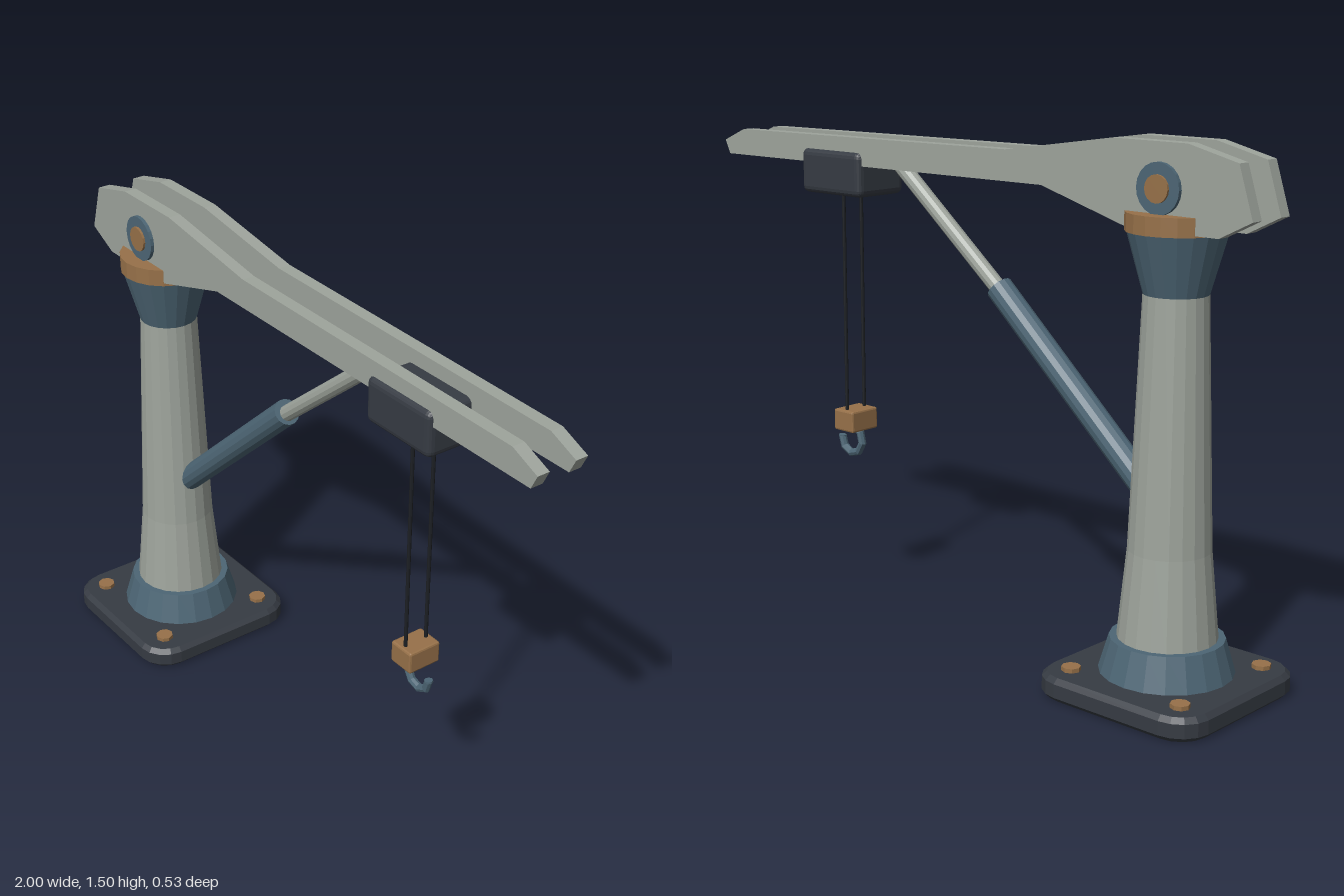
import * as THREE from 'three';
import { RoundedBoxGeometry } from 'three/addons/geometries/RoundedBoxGeometry.js';

const mat = (name, color) => {
  const m = new THREE.MeshStandardMaterial({ color, flatShading: true });
  m.name = name;
  return m;
};

export function createModel() {
  const crane = new THREE.Group();
  crane.name = 'jibCrane';
  const grey = mat('paleGrey', 0x9ea49c);
  const blue = mat('slateBlue', 0x4d6675);
  const bronze = mat('bronze', 0x977149);
  const dark = mat('charcoal', 0x363b43);
  const black = mat('cableBlack', 0x1c1f23);
  const MX = -0.717; // mast axis
  const PIVOT_Y = 1.38;

  const add = (name, geometry, material, x = 0, y = 0, z = 0) => {
    const mesh = new THREE.Mesh(geometry, material);
    mesh.name = name;
    mesh.position.set(x, y, z);
    crane.add(mesh);
    return mesh;
  };

  // Cylinder running from one point to another
  const strut = (name, a, b, r, material, sides = 14) => {
    const from = new THREE.Vector3(...a), to = new THREE.Vector3(...b);
    const dir = to.clone().sub(from);
    const mesh = add(name, new THREE.CylinderGeometry(r, r, dir.length(), sides), material);
    mesh.position.copy(from).add(to).multiplyScalar(0.5);
    mesh.quaternion.setFromUnitVectors(new THREE.Vector3(0, 1, 0), dir.normalize());
    return mesh;
  };

  // Turned part on the mast axis, closed at both ends
  const turned = (name, profile, material) => {
    const pts = [[0, profile[0][1]], ...profile, [0, profile.at(-1)[1]]];
    add(name, new THREE.LatheGeometry(pts.map(p => new THREE.Vector2(...p)), 20), material, MX);
  };

  // Base plate with rounded corners and a bevelled rim
  const bevel = 0.014, h = 0.267 - bevel, r = 0.08;
  const plate = new THREE.Shape();
  plate.absarc(h - r, h - r, r, 0, Math.PI / 2);
  plate.absarc(r - h, h - r, r, Math.PI / 2, Math.PI);
  plate.absarc(r - h, r - h, r, Math.PI, Math.PI * 1.5);
  plate.absarc(h - r, r - h, r, Math.PI * 1.5, Math.PI * 2);
  plate.closePath();
  const baseGeo = new THREE.ExtrudeGeometry(plate, {
    depth: 0.067 - 2 * bevel, bevelSize: bevel, bevelThickness: bevel, bevelSegments: 1, curveSegments: 2,
  });
  baseGeo.rotateX(-Math.PI / 2);
  add('basePlate', baseGeo, dark, MX, bevel, 0);

  // Base bolts
  for (const sx of [-1, 1]) for (const sz of [-1, 1])
    add('baseBolt', new THREE.CylinderGeometry(0.027, 0.027, 0.024, 8), bronze, MX + sx * 0.183, 0.067, sz * 0.184);

  // Mast
  turned('baseCollar', [[0.188, 0.06], [0.158, 0.163]], blue);
  turned('mast', [[0.139, 0.15], [0.114, 0.41], [0.087, 1.11]], grey);
  turned('mastHead', [[0.087, 1.1], [0.134, 1.268]], blue);
  turned('slewRing', [[0.138, 1.265], [0.138, 1.315]], bronze);

  // Twin boom plates
  const outline = [[-1, 1.32], [-0.9, 1.27], [-0.62, 1.27], [-0.32, 1.357], [0.98, 1.353], [1, 1.395],
    [0.91, 1.433], [-0.19, 1.443], [-0.56, 1.498], [-0.8, 1.498], [-0.955, 1.46]];
  const boom = new THREE.Shape(outline.map(p => new THREE.Vector2(...p)));
  const boomGeo = new THREE.ExtrudeGeometry(boom, { depth: 0.038, bevelEnabled: false });
  add('frontBoomPlate', boomGeo, grey, 0, 0, 0.042);
  add('rearBoomPlate', boomGeo, grey, 0, 0, -0.08);

  // Pivot pin and washers
  strut('pivotPin', [MX, PIVOT_Y, -0.098], [MX, PIVOT_Y, 0.098], 0.037, bronze, 16);
  for (const s of [-1, 1])
    strut('pivotWasher', [MX, PIVOT_Y, s * 0.075], [MX, PIVOT_Y, s * 0.091], 0.068, blue, 20);

  // Lifting ram
  strut('ramBarrel', [-0.632, 0.562, 0], [-0.098, 1.043, 0], 0.039, blue);
  strut('ramRod', [-0.13, 1.012, 0], [0.302, 1.367, 0], 0.024, grey, 12);

  // Trolley, cables and hook block
  add('trolley', new RoundedBoxGeometry(0.255, 0.134, 0.186, 2, 0.02), dark, 0.502, 1.328, 0);
  for (const s of [-1, 1])
    strut('hoistCable', [0.503, 0.58, s * 0.036], [0.503, 1.28, s * 0.036], 0.0055, black, 8);
  add('hookBlock', new RoundedBoxGeometry(0.084, 0.067, 0.106, 1, 0.006), bronze, 0.503, 0.558, 0);
  const hook = add('hook', new THREE.TorusGeometry(0.045, 0.0125, 8, 6, THREE.MathUtils.degToRad(265)), blue, 0.52, 0.488, 0);
  hook.rotation.z = THREE.MathUtils.degToRad(100);
  // Closing caps for the two hook ends
  for (const deg of [100, 365]) {
    const a = THREE.MathUtils.degToRad(deg);
    const cap = add('hookEnd', new THREE.CylinderGeometry(0.0125, 0.0125, 0.006, 8), blue,
      0.52 + 0.045 * Math.cos(a), 0.488 + 0.045 * Math.sin(a), 0);
    cap.rotation.z = a;
  }
  return crane;
}
